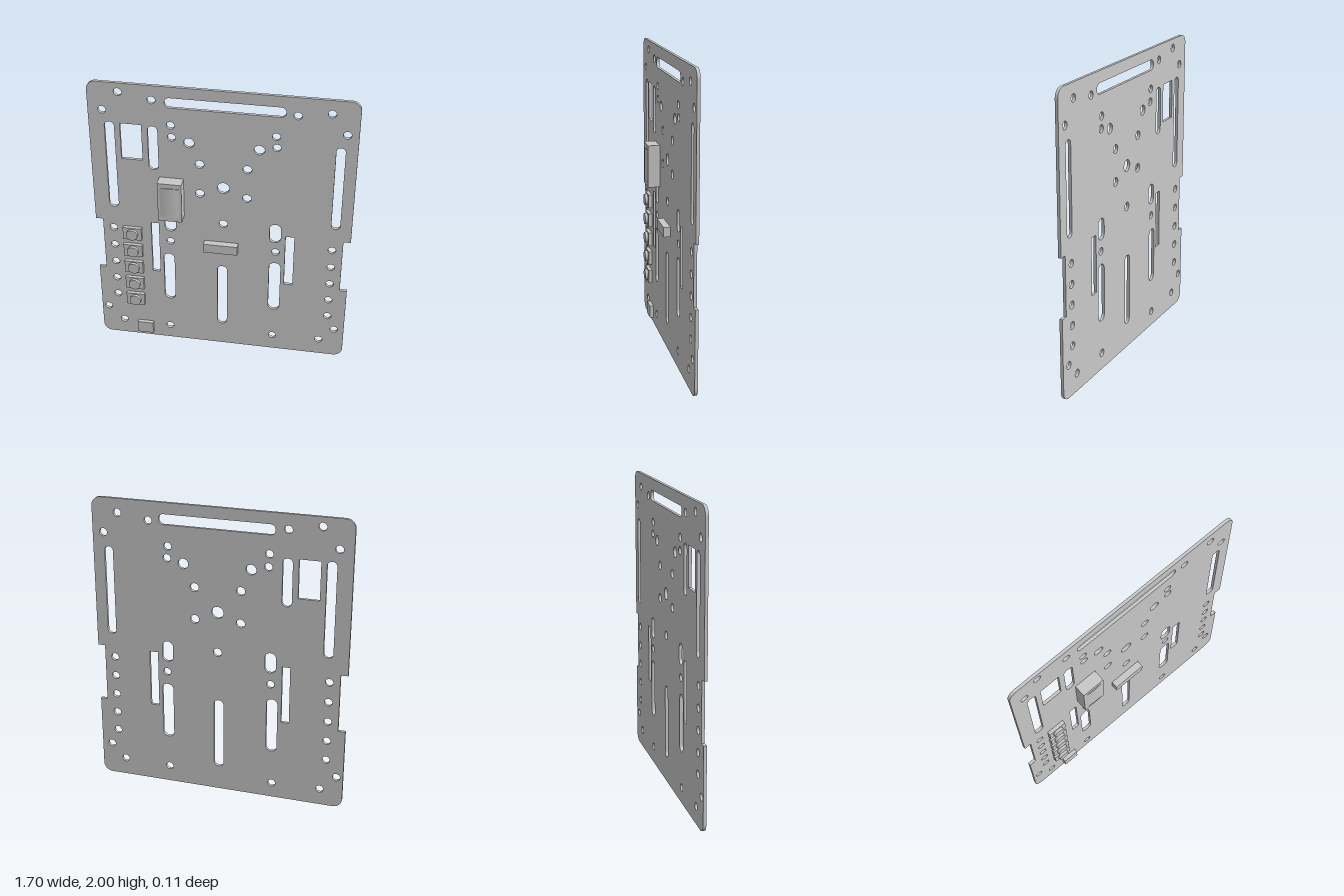
import * as THREE from 'three';

const BACK = -0.053, FACE = -0.033; // plate back and front planes

// Round-cornered rectangle (r = 0 gives square corners)
function roundRect(path, x0, y0, x1, y1, r) {
  path.moveTo(x0 + r, y0);
  path.lineTo(x1 - r, y0);
  if (r) path.absarc(x1 - r, y0 + r, r, -Math.PI / 2, 0, false);
  path.lineTo(x1, y1 - r);
  if (r) path.absarc(x1 - r, y1 - r, r, 0, Math.PI / 2, false);
  path.lineTo(x0 + r, y1);
  if (r) path.absarc(x0 + r, y1 - r, r, Math.PI / 2, Math.PI, false);
  path.lineTo(x0, y0 + r);
  if (r) path.absarc(x0 + r, y0 + r, r, Math.PI, Math.PI * 1.5, false);
  return path;
}

function plateShape() {
  const W = 0.85, R = 0.062, H = Math.PI / 2;
  const s = new THREE.Shape();
  // Outline with a shallow notch in each side
  s.moveTo(-W + R, 0);
  s.lineTo(W - R, 0);
  s.absarc(W - R, R, R, -H, 0, false);
  s.lineTo(W, 0.57);
  s.lineTo(0.802, 0.57);
  s.lineTo(0.802, 0.971);
  s.lineTo(W, 0.971);
  s.lineTo(W, 2 - R);
  s.absarc(W - R, 2 - R, R, 0, H, false);
  s.lineTo(-W + R, 2);
  s.absarc(-W + R, 2 - R, R, H, 2 * H, false);
  s.lineTo(-W, 0.971);
  s.lineTo(-0.802, 0.971);
  s.lineTo(-0.802, 0.57);
  s.lineTo(-W, 0.57);
  s.lineTo(-W, R);
  s.absarc(-W + R, R, R, 2 * H, 3 * H, false);

  const hole = (x, y, r = 0.026) => s.holes.push(new THREE.Path().absarc(x, y, r, 0, Math.PI * 2, true));

  // Screw holes around the edge
  [[-0.651, 1.938], [-0.759, 1.805], [-0.44, 1.9], [0.471, 1.874], [0.677, 1.906], [0.777, 1.768],
   [-0.805, 0.225], [-0.696, 0.117], [-0.366, 0.106], [0.359, 0.117], [0.682, 0.125], [0.782, 0.228],
  // Inner small holes
   [-0.323, 1.731], [-0.318, 1.646], [0.343, 1.715], [0.349, 1.636], [-0.345, 0.841], [0.362, 0.836],
  ].forEach(([x, y]) => hole(x, y));
  // Central mounting pattern
  [[-0.141, 1.465], [0.166, 1.457], [-0.141, 1.244], [0.166, 1.238], [0.013, 1.022]]
    .forEach(([x, y]) => hole(x, y, 0.029));
  hole(-0.207, 1.616, 0.034);
  hole(0.24, 1.609, 0.034);
  hole(0.012, 1.302, 0.04);
  // Hole columns beside the notches
  for (let i = 0; i < 5; i++) {
    hole(-0.731, 0.91 - i * 0.1413);
    hole(0.732, 0.895 - i * 0.1383);
  }

  // Rounded slots: x0, y0, x1, y1, radius
  [[-0.358, 1.855, 0.399, 1.924, 0.032],
   [-0.749, 1.079, -0.686, 1.723, 0.031], [-0.472, 1.395, -0.408, 1.715, 0.031],
   [0.716, 1.066, 0.774, 1.675, 0.028],
   [-0.379, 0.924, -0.305, 1.064, 0.036], [0.319, 0.913, 0.394, 1.056, 0.036],
   [-0.395, 0.35, -0.321, 0.735, 0.036], [0.322, 0.35, 0.399, 0.746, 0.037],
   [-0.027, 0.175, 0.038, 0.675, 0.031],
  // Square cut-outs
   [-0.649, 1.458, -0.511, 1.717, 0], [-0.474, 0.577, -0.421, 0.977, 0], [0.425, 0.577, 0.483, 0.969, 0],
  ].forEach((c) => s.holes.push(roundRect(new THREE.Path(), ...c)));
  return s;
}

export function createModel() {
  const group = new THREE.Group();
  group.name = 'mountingPlate';
  const grey = new THREE.MeshStandardMaterial({ color: 0xc8c8c8 });
  grey.name = 'light grey';

  const add = (name, geometry, parent = group) => {
    const mesh = new THREE.Mesh(geometry, grey);
    mesh.name = name;
    parent.add(mesh);
    return mesh;
  };
  // Box given by its bounds
  const box = (name, x0, x1, y0, y1, z0, z1, parent) =>
    add(name, new THREE.BoxGeometry(x1 - x0, y1 - y0, z1 - z0), parent)
      .position.set((x0 + x1) / 2, (y0 + y1) / 2, (z0 + z1) / 2);

  // Perforated plate
  const plate = new THREE.ExtrudeGeometry(plateShape(), { depth: FACE - BACK, bevelEnabled: false, curveSegments: 12 });
  add('plate', plate).position.z = BACK;

  // Large module with a slightly bowed cover
  box('moduleBlock', -0.405, -0.247, 1.058, 1.344, FACE, 0.047);
  const bow = new THREE.Shape().absarc(0, 0.006 - 0.3285, 0.3285, Math.PI / 2 - 0.191, Math.PI / 2 + 0.191, false);
  const cover = new THREE.ExtrudeGeometry(bow, { depth: 0.222, bevelEnabled: false }).rotateX(Math.PI / 2);
  add('moduleCover', cover).position.set(-0.326, 1.312, 0.047);

  // Connector bar and small chip
  box('connectorBar', -0.114, 0.113, 0.81, 0.876, FACE, 0.013);
  box('chip', -0.596, -0.485, 0.037, 0.125, FACE, -0.007);

  // Column of push buttons
  for (let i = 0; i < 5; i++) {
    const y = 0.884 - i * 0.139;
    const button = new THREE.Group();
    button.name = 'pushButton' + (i + 1);
    group.add(button);
    box('buttonBase', -0.665, -0.538, y - 0.047, y + 0.047, FACE, -0.009, button);
    const cap = add('buttonCap', new THREE.CylinderGeometry(0.039, 0.039, 0.019, 32).rotateX(Math.PI / 2), button);
    cap.position.set(-0.601, y, 0.0005);
  }
  return group;
}
